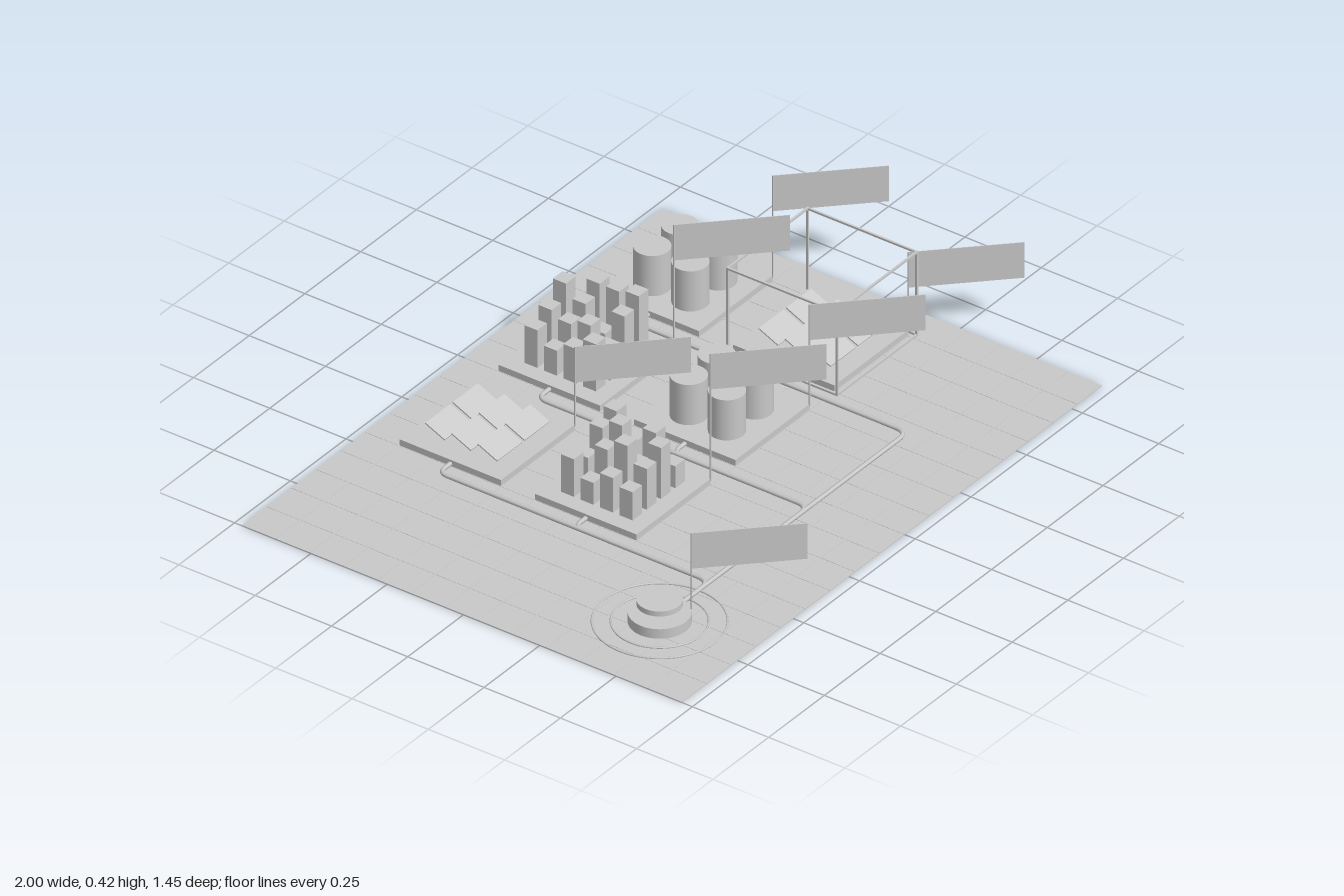
import * as THREE from 'three';

const U = 0.1109; // one ground tile
const PAD_TOP = 0.021;
const HUB = { x: -0.722, z: 0.44 };

export function createModel() {
  const model = new THREE.Group();
  const grey = new THREE.MeshStandardMaterial({ color: 0xc8c8c8, side: THREE.DoubleSide });
  grey.name = 'plain grey';

  const add = (parent, name, geometry, x = 0, y = 0, z = 0) => {
    const mesh = new THREE.Mesh(geometry, grey);
    mesh.name = name;
    mesh.position.set(x, y, z);
    parent.add(mesh);
    return mesh;
  };
  const box = (parent, name, w, h, d, x, y, z) =>
    add(parent, name, new THREE.BoxGeometry(w, h, d), x, y, z);
  const group = (name, x = 0, z = 0) => {
    const g = new THREE.Group();
    g.name = name;
    g.position.set(x, 0, z);
    model.add(g);
    return g;
  };

  // Ground sheet with fine tile lines
  const ground = group('ground', -0.0575, -0.005);
  box(ground, 'groundSheet', 17 * U, 0.002, 13 * U, 0, 0.001, 0);
  for (let i = 1; i < 17; i++) box(ground, 'tileLine', 0.002, 0.001, 13 * U, (i - 8.5) * U, 0.0022, 0);
  for (let i = 1; i < 13; i++) box(ground, 'tileLine', 17 * U, 0.001, 0.002, 0, 0.0022, (i - 6.5) * U);

  // Sign board on a pole: the board runs diagonally away from the pole
  const addSign = (parent, x, z, bottom) => {
    const h = 0.112, run = 0.2195;
    box(parent, 'signPole', 0.003, bottom + h - 0.015, 0.003, x, (bottom + h + 0.015) / 2, z);
    const board = box(parent, 'signBoard', run * Math.SQRT2, h, 0.002, x + run / 2, bottom + h / 2, z + run / 2);
    board.rotation.y = -Math.PI / 4;
  };

  // Equipment for the pads
  const panels = (g) => {
    for (const x of [-0.0615, 0.0615]) for (const z of [-0.086, 0, 0.086]) {
      const p = box(g, 'tiltedPanel', 0.112, 0.004, 0.07, x, 0.051, z);
      p.rotation.x = 0.43;
    }
  };
  const tanks = (g) => {
    for (const x of [-0.0625, 0.0625]) for (const z of [-0.0625, 0.0625]) {
      add(g, 'tank', new THREE.CylinderGeometry(0.051, 0.051, 0.127, 32), x, PAD_TOP + 0.0635, z);
    }
  };
  const towers = (heights) => (g) => {
    heights.forEach((row, r) => row.forEach((top, c) => {
      const h = top - PAD_TOP;
      box(g, 'tower', 0.043, h, 0.043, (c - 1.5) * 0.064, PAD_TOP + h / 2, (r - 1.5) * 0.064);
    }));
  };
  // Tower tops, rows from back to front
  const backTowers = towers([
    [0.14, 0.17, 0.22, 0.12], [0.10, 0.15, 0.18, 0.21],
    [0.13, 0.17, 0.11, 0.21], [0.17, 0.12, 0.19, 0.22],
  ]);
  const frontTowers = towers([
    [0.14, 0.11, 0.17, 0.19], [0.09, 0.16, 0.203, 0.12],
    [0.13, 0.198, 0.10, 0.17], [0.11, 0.15, 0.182, 0.09],
  ]);

  // Six pads, each with equipment, a sign and a feed pipe
  const pads = [
    { name: 'backRightPad', x: -0.278, z: -0.449, fill: panels, sign: 0.155 },
    { name: 'backMiddlePad', x: 0.166, z: -0.449, fill: backTowers, sign: 0.305 },
    { name: 'backLeftPad', x: 0.61, z: -0.449, fill: tanks, sign: 0.225 },
    { name: 'frontRightPad', x: -0.278, z: -0.005, fill: frontTowers, sign: 0.305 },
    { name: 'frontMiddlePad', x: 0.166, z: -0.005, fill: tanks, sign: 0.225 },
    { name: 'frontLeftPad', x: 0.61, z: -0.005, fill: panels, sign: 0.155 },
  ];
  const half = 0.166;
  for (const p of pads) {
    const g = group(p.name, p.x, p.z);
    box(g, 'padSlab', half * 2, PAD_TOP - 0.002, half * 2, 0, (PAD_TOP + 0.002) / 2, 0);
    p.fill(g);
    addSign(g, half, half, p.sign);
    const trunkX = p.x - half - 0.053;
    add(model, 'feedPipe', pipe([
      [HUB.x + 0.08, HUB.z], [trunkX, HUB.z], [trunkX, p.z], [p.x - half + 0.005, p.z],
    ]));
  }

  // Open frame around the front left pad
  const frame = group('openFrame', 0.61, 0);
  const s = 0.179, t = 0.006, top = 0.267;
  for (const a of [-s, s]) {
    for (const y of [0.006, top]) {
      box(frame, 'frameRail', 2 * s + t, t, t, 0, y, a);
      box(frame, 'frameRail', t, t, 2 * s + t, a, y, 0);
    }
    for (const b of [-s, s]) box(frame, 'framePost', t, top, t, a, top / 2 + 0.003, b);
  }

  // Round hub with a hovering disc, ground rings and its own sign
  const hub = group('hub', HUB.x, HUB.z);
  add(hub, 'hubBase', new THREE.CylinderGeometry(0.085, 0.085, 0.03, 40), 0, 0.018, 0);
  add(hub, 'hubDisc', new THREE.CylinderGeometry(0.062, 0.062, 0.016, 40), 0, 0.066, 0);
  for (const r of [0.13, 0.18]) {
    const ring = add(hub, 'groundRing', new THREE.TorusGeometry(r, 0.003, 6, 64), 0, 0.004, 0);
    ring.rotation.x = Math.PI / 2;
  }
  addSign(hub, 0.06, 0.06, 0.161);

  return model;
}

// Tube along flat points with rounded corners
function pipe(points) {
  const v = points.map(([x, z]) => new THREE.Vector3(x, 0.009, z));
  const path = new THREE.CurvePath();
  let from = v[0];
  for (let i = 1; i < v.length - 1; i++) {
    const r = Math.min(0.04, v[i].distanceTo(v[i - 1]) / 2, v[i].distanceTo(v[i + 1]) / 2);
    const inP = v[i].clone().lerp(v[i - 1], r / v[i].distanceTo(v[i - 1]));
    const outP = v[i].clone().lerp(v[i + 1], r / v[i].distanceTo(v[i + 1]));
    path.add(new THREE.LineCurve3(from, inP));
    path.add(new THREE.QuadraticBezierCurve3(inP, v[i], outP));
    from = outP;
  }
  path.add(new THREE.LineCurve3(from, v[v.length - 1]));
  return new THREE.TubeGeometry(path, 140, 0.0065, 8, false);
}
